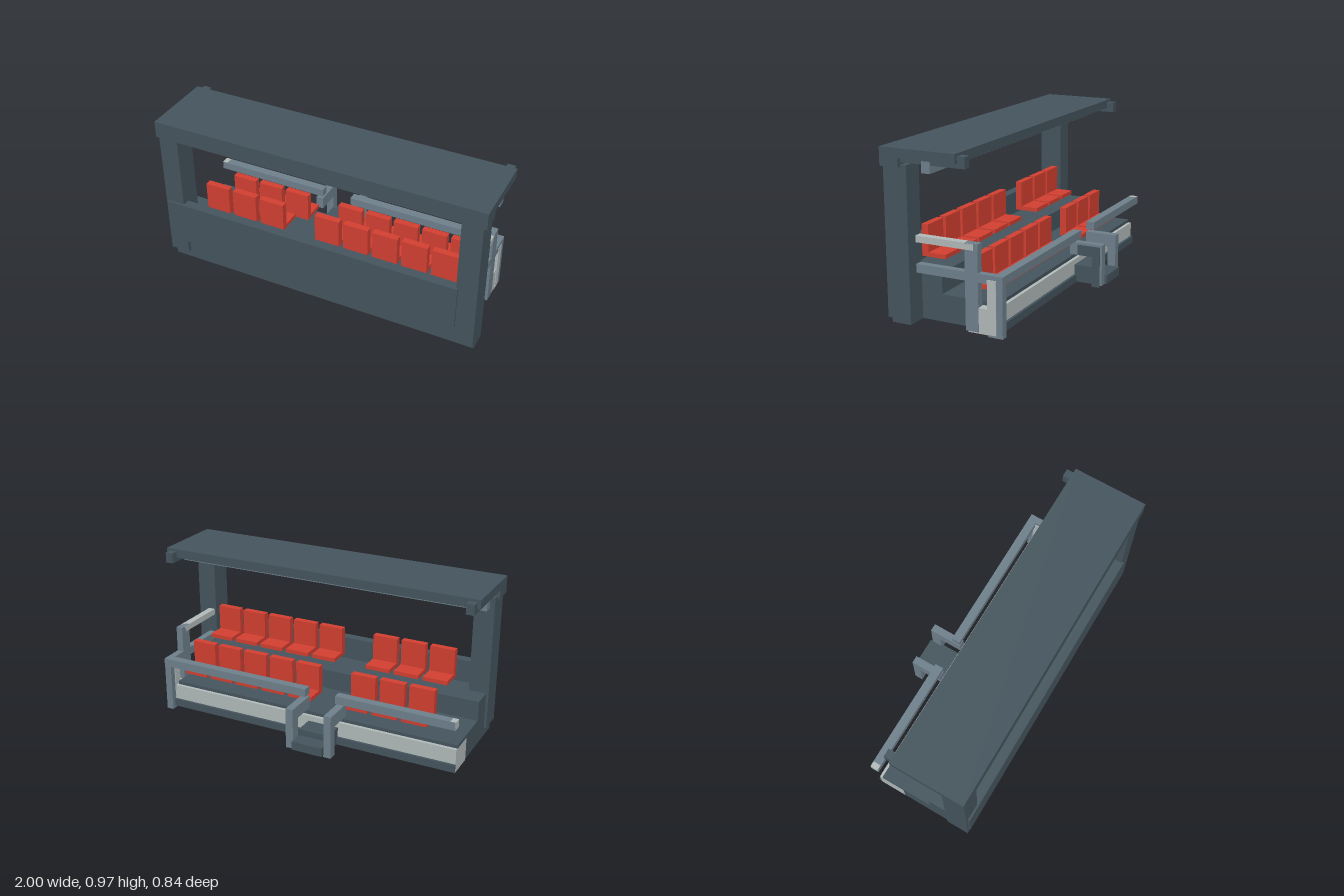
import * as THREE from 'three';

const paint = (color) => new THREE.MeshStandardMaterial({ color, flatShading: true });

export function createModel() {
  const model = new THREE.Group();
  const slate = paint(0x46565f);
  const steel = paint(0x70828e);
  const pale = paint(0xb5bdbd);
  const red = paint(0xd64032);

  // Box given by its lower and upper limits on each axis
  function box(name, material, [x0, x1], [y0, y1], [z0, z1], parent = model) {
    const mesh = new THREE.Mesh(new THREE.BoxGeometry(x1 - x0, y1 - y0, z1 - z0), material);
    mesh.position.set((x0 + x1) / 2, (y0 + y1) / 2, (z0 + z1) / 2);
    mesh.name = name;
    parent.add(mesh);
    return mesh;
  }

  // Stepped floor
  box('base', slate, [-0.97, 0.86], [0.015, 0.17], [-0.045, 0.38]);
  box('deckEdge', slate, [-0.97, 0.86], [0.15, 0.17], [-0.19, -0.045]);
  box('upperTier', slate, [-0.97, 0.86], [0.17, 0.29], [0.14, 0.38]);
  box('backSill', pale, [-0.97, 0.91], [0.008, 0.15], [-0.21, -0.045]);
  box('lowerLip', slate, [-0.97, 0.87], [0.015, 0.06], [-0.225, -0.21]);

  // Front wall and corner posts
  box('frontWall', slate, [-0.97, 0.87], [0.16, 0.427], [0.36, 0.418]);
  box('leftPost', slate, [0.86, 0.98], [0.04, 0.88], [0.265, 0.406]);
  box('leftFoot', slate, [0.86, 0.98], [0.015, 0.04], [0.265, 0.38]);
  box('rightPost', slate, [-0.985, -0.865], [0.07, 0.88], [0.265, 0.406]);

  // Roof with front fascia, end brackets and hanging rail
  box('roofSlab', slate, [-1, 1], [0.917, 0.97], [-0.037, 0.413]);
  box('roofFascia', slate, [-1, 1], [0.868, 0.917], [0.3, 0.413]);
  for (const x of [-0.957, 0.955]) {
    box('roofBracket', slate, [x - 0.024, x + 0.024], [0.893, 0.955], [-0.082, 0.3]);
  }
  box('roofRail', steel, [-0.985, 0.985], [0.85, 0.917], [0.12, 0.17]);

  // Two rows of seats with a gap for the aisle
  const seatStarts = [-0.775, -0.594, -0.413, -0.053, 0.127, 0.307, 0.487, 0.667];
  const rows = [{ y: 0.352, z: 0.285 }, { y: 0.222, z: -0.02 }];
  for (const { y, z } of rows) {
    for (const x of seatStarts) {
      const seat = new THREE.Group();
      seat.name = 'seat';
      box('seatBack', red, [x, x + 0.153], [y, y + 0.178], [z - 0.04, z], seat);
      box('seatPan', red, [x, x + 0.153], [y, y + 0.024], [z - 0.145, z - 0.04], seat);
      model.add(seat);
    }
  }

  // Railing at the left end
  const end = [0.87, 0.912];
  box('endTopRail', pale, end, [0.455, 0.492], [-0.083, 0.265]);
  box('endLowerRail', steel, end, [0.288, 0.336], [-0.2, 0.265]);
  box('endMiddlePost', steel, end, [0.015, 0.492], [-0.108, -0.031]);
  box('endCornerPost', steel, end, [0, 0.336], [-0.25, -0.162]);
  box('endPanel', pale, [0.866, 0.914], [0.012, 0.312], [-0.213, -0.161]);

  // Rails along the back, open at the steps
  box('backRail', steel, [-0.06, 0.912], [0.288, 0.336], [-0.252, -0.2]);
  box('backRail', steel, [-0.97, -0.25], [0.288, 0.336], [-0.252, -0.2]);
  box('railCap', pale, [-0.973, -0.94], [0.29, 0.337], [-0.25, -0.203]);

  // Steps between two bent handrails
  box('upperStep', slate, [-0.25, -0.06], [0.015, 0.118], [-0.33, -0.21]);
  box('lowerStep', slate, [-0.25, -0.06], [0.028, 0.08], [-0.419, -0.33]);
  for (const [x, back, low] of [[-0.272, -0.393, 0.015], [-0.038, -0.405, 0.028]]) {
    const rail = new THREE.Group();
    rail.name = 'stepHandrail';
    const span = [x - 0.023, x + 0.023];
    box('handrailArm', steel, span, [0.197, 0.273], [back, -0.2], rail);
    box('handrailPost', steel, span, [low, 0.197], [back, -0.343], rail);
    model.add(rail);
  }
  // Dark facing on the outer side of the left handrail
  box('handrailFacing', slate, [-0.018, -0.012], [0.197, 0.26], [-0.392, -0.25]);
  box('handrailFacing', slate, [-0.018, -0.012], [0.015, 0.197], [-0.392, -0.343]);

  return model;
}
